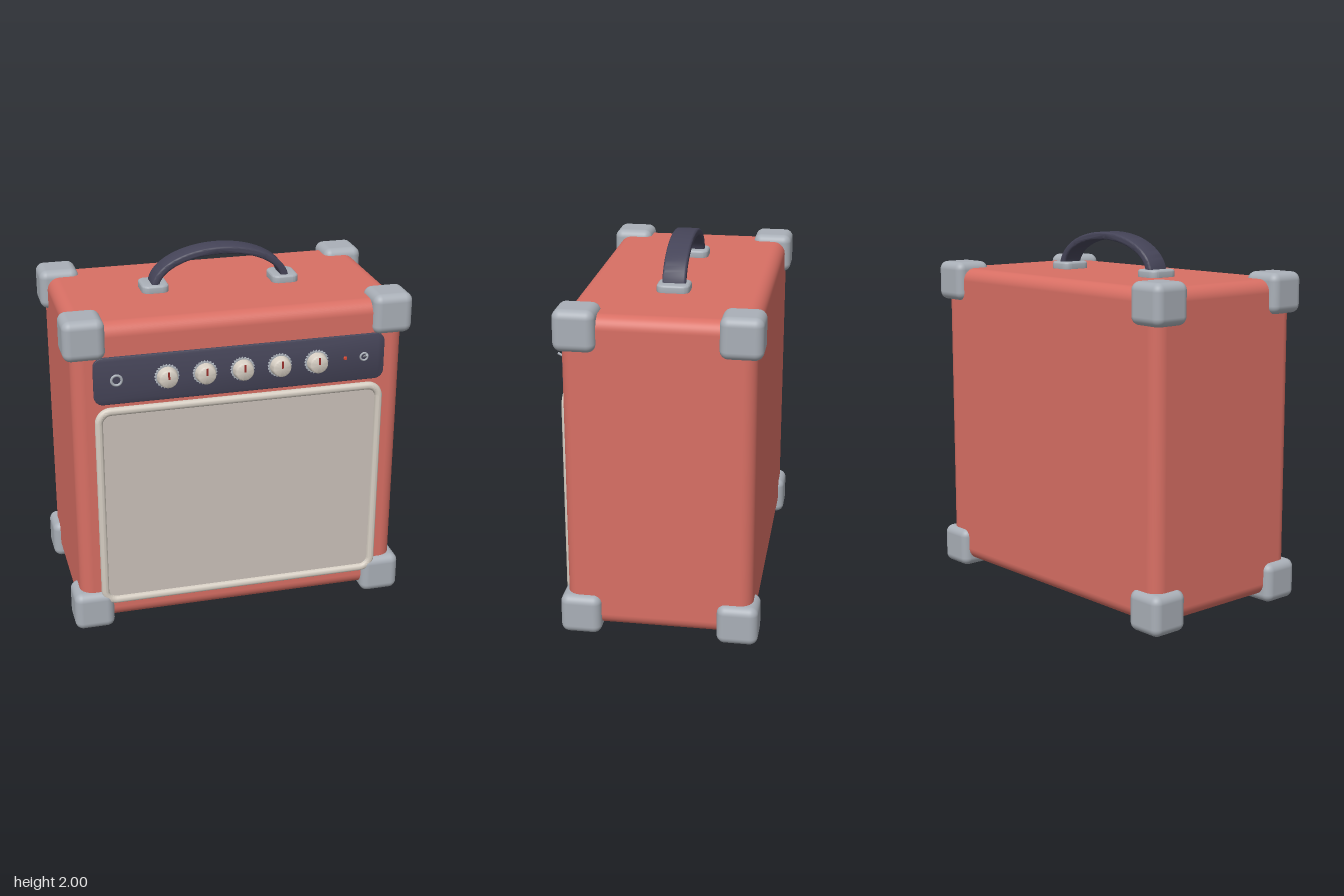
import * as THREE from 'three';
import { toCreasedNormals } from 'three/addons/utils/BufferGeometryUtils.js';
import { RoundedBoxGeometry } from 'three/addons/geometries/RoundedBoxGeometry.js';

const material = (name, color) => {
  const m = new THREE.MeshStandardMaterial({ color });
  m.name = name;
  return m;
};

const red = material('coral covering', 0xd86f64);
const dark = material('dark navy', 0x454458);
const silver = material('silver grey', 0xa9afb7);
const cloth = material('grille cloth', 0xcac1b9);
const cream = material('cream', 0xd6cec3);
const lamp = material('lamp red', 0xd84a35);
const pointerRed = material('pointer red', 0x9c2f2c);

// Rounded rectangle centred on the origin
function roundedRect(w, h, r, Type = THREE.Shape) {
  const s = new Type(), x = w / 2, y = h / 2;
  s.moveTo(-x + r, -y);
  s.lineTo(x - r, -y);
  s.absarc(x - r, -y + r, r, -Math.PI / 2, 0, false);
  s.lineTo(x, y - r);
  s.absarc(x - r, y - r, r, 0, Math.PI / 2, false);
  s.lineTo(-x + r, y);
  s.absarc(-x + r, y - r, r, Math.PI / 2, Math.PI, false);
  s.lineTo(-x, -y + r);
  s.absarc(-x + r, -y + r, r, Math.PI, Math.PI * 1.5, false);
  return s;
}

// Extrusion with an optional round bevel, kept inside the outline
function extrude(shape, depth, bevel = 0, curveSegments = 10) {
  const g = new THREE.ExtrudeGeometry(shape, {
    depth: depth - 2 * bevel, curveSegments, bevelEnabled: bevel > 0,
    bevelThickness: bevel, bevelSize: bevel, bevelOffset: -bevel, bevelSegments: 4,
  });
  g.translate(0, 0, bevel);
  return toCreasedNormals(g, 0.7);
}

// Cylinder lying along z, from its base at z = 0
function dial(rFront, rBack, depth, segments = 32) {
  return new THREE.CylinderGeometry(rFront, rBack, depth, segments)
    .rotateX(Math.PI / 2).translate(0, 0, depth / 2);
}

export function createModel() {
  const model = new THREE.Group();
  model.name = 'guitarAmplifier';

  const add = (name, geometry, mat, x, y, z, parent = model) => {
    const mesh = new THREE.Mesh(geometry, mat);
    mesh.name = name;
    mesh.position.set(x, y, z);
    parent.add(mesh);
    return mesh;
  };

  // Cabinet
  add('cabinet', new RoundedBoxGeometry(1.8, 1.735, 0.995, 6, 0.07), red, 0, 0.9075, -0.02);

  // Eight corner protectors
  const cornerGeometry = new RoundedBoxGeometry(0.22, 0.22, 0.22, 5, 0.045);
  for (const x of [-0.83, 0.83])
    for (const y of [0.11, 1.7])
      for (const z of [-0.44, 0.4])
        add('cornerProtector', cornerGeometry, silver, x, y, z);

  // Grille cloth and its rounded piping
  add('grilleCloth', extrude(roundedRect(1.52, 1.12, 0.06), 0.02), cloth, 0, 0.7325, 0.466);
  const pipe = roundedRect(1.58, 1.175, 0.085);
  pipe.holes.push(roundedRect(1.496, 1.091, 0.045, THREE.Path));
  add('grillePiping', extrude(pipe, 0.042, 0.0195), cream, 0, 0.7325, 0.464);

  // Control panel
  const face = 0.491;
  add('controlPanel', extrude(roundedRect(1.58, 0.26, 0.05), 0.026, 0.004), dark, 0, 1.47, face - 0.026);

  // Knobs: knurled skirt, tapered cap and pointer
  const teeth = 24, skirt = new THREE.Shape();
  for (let i = 0; i < teeth * 2; i++) {
    const a = (i * Math.PI) / teeth, r = i % 2 ? 0.058 : 0.066;
    if (i) skirt.lineTo(r * Math.cos(a), r * Math.sin(a));
    else skirt.moveTo(r, 0);
  }
  const skirtGeometry = extrude(skirt, 0.016);
  const capProfile = [[0.057, 0], [0.05, 0.045], [0.047, 0.051], [0.042, 0.054], [0, 0.055]];
  const capGeometry = new THREE.LatheGeometry(capProfile.map(p => new THREE.Vector2(...p)), 32).rotateX(Math.PI / 2);
  const pointerGeometry = new THREE.BoxGeometry(0.01, 0.04, 0.004);
  for (let i = -2; i <= 2; i++) {
    const knob = new THREE.Group();
    knob.name = 'knob';
    knob.position.set(i * 0.203, 1.474, face);
    add('knobSkirt', skirtGeometry, silver, 0, 0, 0, knob);
    add('knobCap', toCreasedNormals(capGeometry, 0.6), cream, 0, 0, 0.008, knob);
    add('knobPointer', pointerGeometry, pointerRed, 0, 0.022, 0.063, knob);
    model.add(knob);
  }

  // Input jack, power lamp and toggle switch
  const ringGeometry = new THREE.TorusGeometry(0.027, 0.007, 8, 28);
  add('inputJackRing', ringGeometry, silver, -0.67, 1.474, face + 0.002);
  add('inputJackHole', dial(0.017, 0.017, 0.002), dark, -0.67, 1.474, face);
  add('powerLamp', dial(0.008, 0.011, 0.008, 16), lamp, 0.57, 1.474, face);
  const switchRing = add('switchRing', ringGeometry, silver, 0.675, 1.474, face + 0.002);
  switchRing.scale.set(0.75, 0.75, 1);
  const lever = add('switchLever', dial(0.007, 0.005, 0.055, 12), silver, 0.675, 1.474, face);
  lever.rotation.x = -0.5;

  // Carrying handle: an elliptical strap on two mounts
  const strap = new THREE.Shape();
  strap.moveTo(0.385, 1.79);
  strap.absellipse(0, 1.79, 0.385, 0.21, 0, Math.PI, false);
  strap.lineTo(-0.343, 1.79);
  strap.absellipse(0, 1.79, 0.343, 0.168, Math.PI, 0, true);
  add('handleStrap', extrude(strap, 0.126, 0.012, 32), dark, 0, 0, -0.085);
  const mountGeometry = extrude(roundedRect(0.148, 0.175, 0.04), 0.05, 0.012).rotateX(-Math.PI / 2);
  for (const x of [-0.364, 0.364]) add('handleMount', mountGeometry, silver, x, 1.765, -0.022);

  return model;
}
